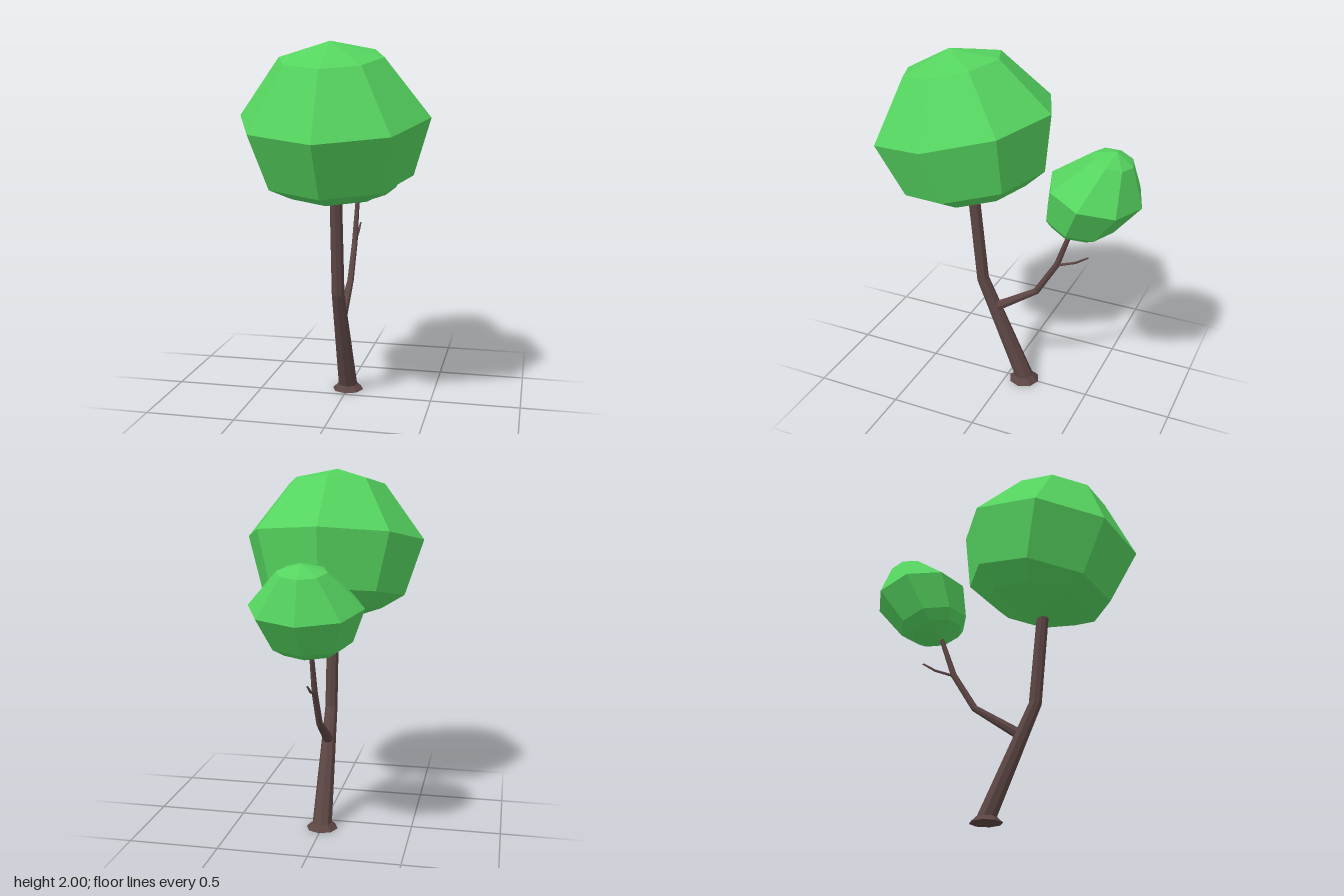
import * as THREE from 'three';

const SIDES = 8;
const leaf = new THREE.MeshStandardMaterial({ color: 0x55d45f, flatShading: true });
const bark = new THREE.MeshStandardMaterial({ color: 0x5c4644, flatShading: true });

function lathe(profile) {
  return new THREE.LatheGeometry(profile.map(([r, y]) => new THREE.Vector2(r, y)), SIDES);
}

function addMesh(group, name, geometry, material) {
  const mesh = new THREE.Mesh(geometry, material);
  mesh.name = name;
  group.add(mesh);
}

// Faceted crown: a lathe profile [radius, height], leaned and squashed by three axes
function crown(profile, centre, side, up, front) {
  const m = new THREE.Matrix4()
    .makeBasis(new THREE.Vector3(...side), new THREE.Vector3(...up), new THREE.Vector3(...front))
    .setPosition(...centre);
  return lathe(profile).applyMatrix4(m);
}

// Tapered limb in the x = 0 plane: stations [z, y, radius], rings mitred at each bend
function limb(stations, flatStart = false) {
  const last = stations.length - 1;
  const profile = [[0, 0], ...stations.map(([, , r], i) => [r, i]), [0, last]];
  const geometry = lathe(profile);
  const pos = geometry.attributes.position;
  const centres = stations.map(([z, y]) => new THREE.Vector3(0, y, z));
  const dir = (a, b) => centres[b].clone().sub(centres[a]).normalize();
  const normals = centres.map((c, i) => {
    if (i === 0 && flatStart) return new THREE.Vector3(0, 0, 1);
    const t = new THREE.Vector3();
    if (i > 0) t.add(dir(i - 1, i));
    if (i < last) t.add(dir(i, i + 1));
    return new THREE.Vector3(1, 0, 0).cross(t.normalize());
  });
  for (let k = 0; k < pos.count; k++) {
    const i = Math.round(pos.getY(k));
    const p = centres[i].clone().addScaledVector(normals[i], pos.getZ(k));
    pos.setXYZ(k, pos.getX(k), p.y, p.z);
  }
  geometry.computeVertexNormals();
  return geometry;
}

export function createModel() {
  const tree = new THREE.Group();
  tree.name = 'tree';

  // Flared foot
  const foot = lathe([[0, 0], [0.09, 0], [0.058, 0.03], [0, 0.03]]);
  foot.translate(0, 0, -0.106);
  addMesh(tree, 'trunkFoot', foot, bark);

  // Leaning trunk, side branch and twig
  addMesh(tree, 'trunk', limb([[-0.108, 0.02, 0.056], [0.16, 0.64, 0.036], [0.215, 1.22, 0.034]], true), bark);
  addMesh(tree, 'branch', limb([
    [0.075, 0.469, 0.03], [-0.175, 0.637, 0.019], [-0.297, 0.843, 0.017], [-0.39, 1.12, 0.012],
  ]), bark);
  addMesh(tree, 'twig', limb([[-0.295, 0.838, 0.008], [-0.405, 0.88, 0.007], [-0.477, 0.927, 0.005]]), bark);

  // Large crown, leaning forward
  addMesh(tree, 'largeCrown', crown(
    [[0, -0.49], [0.285, -0.392], [0.413, -0.313], [0.51, 0], [0.276, 0.31], [0, 0.393]],
    [0, 1.615, 0.255], [1, 0, 0], [0, 0.978, 0.208], [0, -0.208, 0.978],
  ), leaf);

  // Small crown, leaning back
  addMesh(tree, 'smallCrown', crown(
    [[0, -0.48], [0.28, -0.39], [0.385, -0.31], [0.51, 0], [0.22, 0.31], [0, 0.385]],
    [0, 1.346, -0.505], [0.588, 0, 0], [0, 0.6, -0.265], [0, 0.114, 0.49],
  ), leaf);

  return tree;
}
